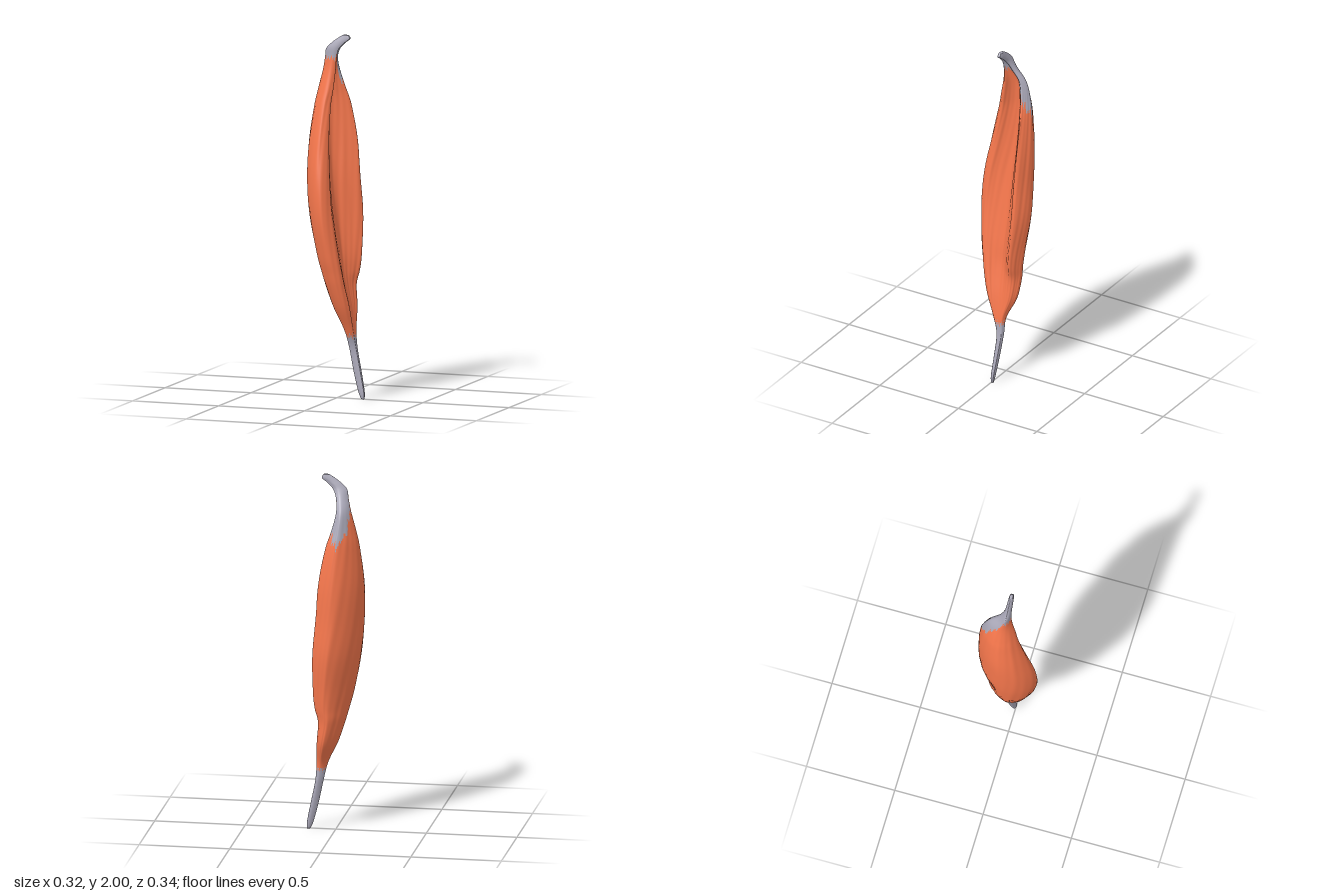
import * as THREE from 'three';

// Slices from top to bottom:
// y, outer x, rear flange x, back z, front z, front lip x, groove x
const SLICES = [
  [2.0, 0.035, 0.066, -0.009, 0.009, 0.066, 0.066],
  [1.98, 0.003, 0.075, -0.013, 0.013, 0.075, 0.075],
  [1.955, -0.03, 0.045, -0.015, 0.016, 0.045, 0.04],
  [1.92, -0.063, 0.012, -0.022, 0.019, 0.014, 0.005],
  [1.87, -0.073, -0.008, -0.048, 0.021, 0.002, -0.02],
  [1.8, -0.09, -0.014, -0.102, 0.03, -0.004, -0.045],
  [1.7, -0.115, 0.01, -0.132, 0.052, -0.012, -0.055],
  [1.6, -0.135, 0.04, -0.15, 0.075, -0.022, -0.057],
  [1.4, -0.157, 0.077, -0.165, 0.122, -0.018, -0.048],
  [1.2, -0.155, 0.094, -0.167, 0.16, -0.004, -0.028],
  [1.0, -0.137, 0.11, -0.165, 0.17, 0.016, 0.0],
  [0.8, -0.1, 0.111, -0.137, 0.15, 0.046, 0.03],
  [0.7, -0.075, 0.102, -0.125, 0.132, 0.062, 0.042],
  [0.62, -0.053, 0.084, -0.118, 0.115, 0.074, 0.056],
  [0.5, -0.015, 0.093, -0.1, 0.08, 0.092, 0.08],
  [0.38, 0.04, 0.1, -0.048, 0.03, 0.1, 0.098],
  [0.28, 0.064, 0.107, -0.04, 0.0, 0.108, 0.108],
  [0.15, 0.092, 0.134, -0.029, 0.001, 0.134, 0.134],
  [0.04, 0.122, 0.156, -0.018, 0.005, 0.156, 0.156],
  [0.0, 0.14, 0.156, -0.012, 0.002, 0.156, 0.156],
];
const AROUND = 120, STEPS = 7;

// Closed crescent outline of one slice: front, outer side, back, flange, groove, lip
function outline([y, xo, xf, zb, zf, xl, xg]) {
  const zc = (zb + zf) / 2, h = (zf - zb) / 2;
  const a = (xl - xo) * 0.72, b = (xf - xo) * 0.62;
  const points = [
    [xo + a, zf], [xo + a * 0.25, zc + h * 0.66], [xo, zc + h * 0.05], [xo + b * 0.37, zc - h * 0.6],
    [xo + b, zb], [xo + b * 1.35, zc - h * 0.88], [xf, zc - h * 0.67],
    [(xf + xg) / 2, zc - h * 0.38], [xg, zc - h * 0.06],
    [xg + (xl - xg) * 0.35, zc + h * 0.4], [xl, zc + h * 0.72],
  ].map(([x, z]) => new THREE.Vector3(x, y, z));
  return new THREE.CatmullRomCurve3(points, true);
}

// Wavy border between muscle and tendon
function isTendon(y, z, u) {
  const jag = 0.012 * Math.sin(u * 150) + 0.008 * Math.sin(u * 83);
  if (y < 0.35 + jag) return true;
  const onOuterFace = u > 0.15 && u < 0.6;
  const border = 1.875 + (onOuterFace ? Math.min(0, z + 0.01) * 1.75 : 0);
  return y > border + jag;
}

export function createModel() {
  const group = new THREE.Group();
  group.name = 'spindleMuscle';

  // Smoothly interpolate every slice column
  const columns = [1, 2, 3, 4, 5, 6].map(
    (c) => new THREE.SplineCurve(SLICES.map((s) => new THREE.Vector2(s[0], s[c]))));
  const rows = (SLICES.length - 1) * STEPS;
  const positions = [];
  for (let j = 0; j <= rows; j++) {
    const samples = columns.map((c) => c.getPoint(j / rows));
    const y = samples[0].x;
    const curve = outline([y, ...samples.map((s) => s.y)]);
    const belly = THREE.MathUtils.smoothstep(y, 0.35, 0.6) * (1 - THREE.MathUtils.smoothstep(y, 1.6, 1.85));
    for (let i = 0; i < AROUND; i++) {
      const u = i / AROUND;
      const p = curve.getPoint(u);
      // Slanting fibre ripples
      const ripple = belly * 0.0008 * (Math.sin(u * Math.PI * 44 + y * 14) + Math.sin(u * Math.PI * 26 + y * 9));
      const t = curve.getTangent(u);
      positions.push(p.x + t.z * ripple, y, p.z - t.x * ripple);
    }
  }

  // Sort the faces into muscle and tendon
  const muscle = [], tendon = [];
  for (let j = 0; j < rows; j++) {
    for (let i = 0; i < AROUND; i++) {
      const a = j * AROUND + i, b = j * AROUND + (i + 1) % AROUND;
      const c = a + AROUND, d = b + AROUND;
      const onTendon = isTendon(positions[a * 3 + 1], positions[a * 3 + 2], i / AROUND);
      (onTendon ? tendon : muscle).push(a, b, c, b, d, c);
    }
  }
  // End caps of the two tendons
  const last = rows * AROUND;
  for (let i = 1; i < AROUND - 1; i++) {
    tendon.push(0, i + 1, i, last, last + i, last + i + 1);
  }

  // Shared smooth normals keep the border seamless
  const whole = new THREE.BufferGeometry();
  whole.setAttribute('position', new THREE.Float32BufferAttribute(positions, 3));
  whole.setIndex([...muscle, ...tendon]);
  whole.computeVertexNormals();

  const addPart = (name, index, color) => {
    const geometry = new THREE.BufferGeometry();
    geometry.setAttribute('position', whole.attributes.position);
    geometry.setAttribute('normal', whole.attributes.normal);
    geometry.setIndex(index);
    const mesh = new THREE.Mesh(geometry, new THREE.MeshStandardMaterial({ color }));
    mesh.name = name;
    group.add(mesh);
  };
  addPart('muscleBelly', muscle, 0xf8784d);
  addPart('tendons', tendon, 0xaaa8b8);
  return group;
}
